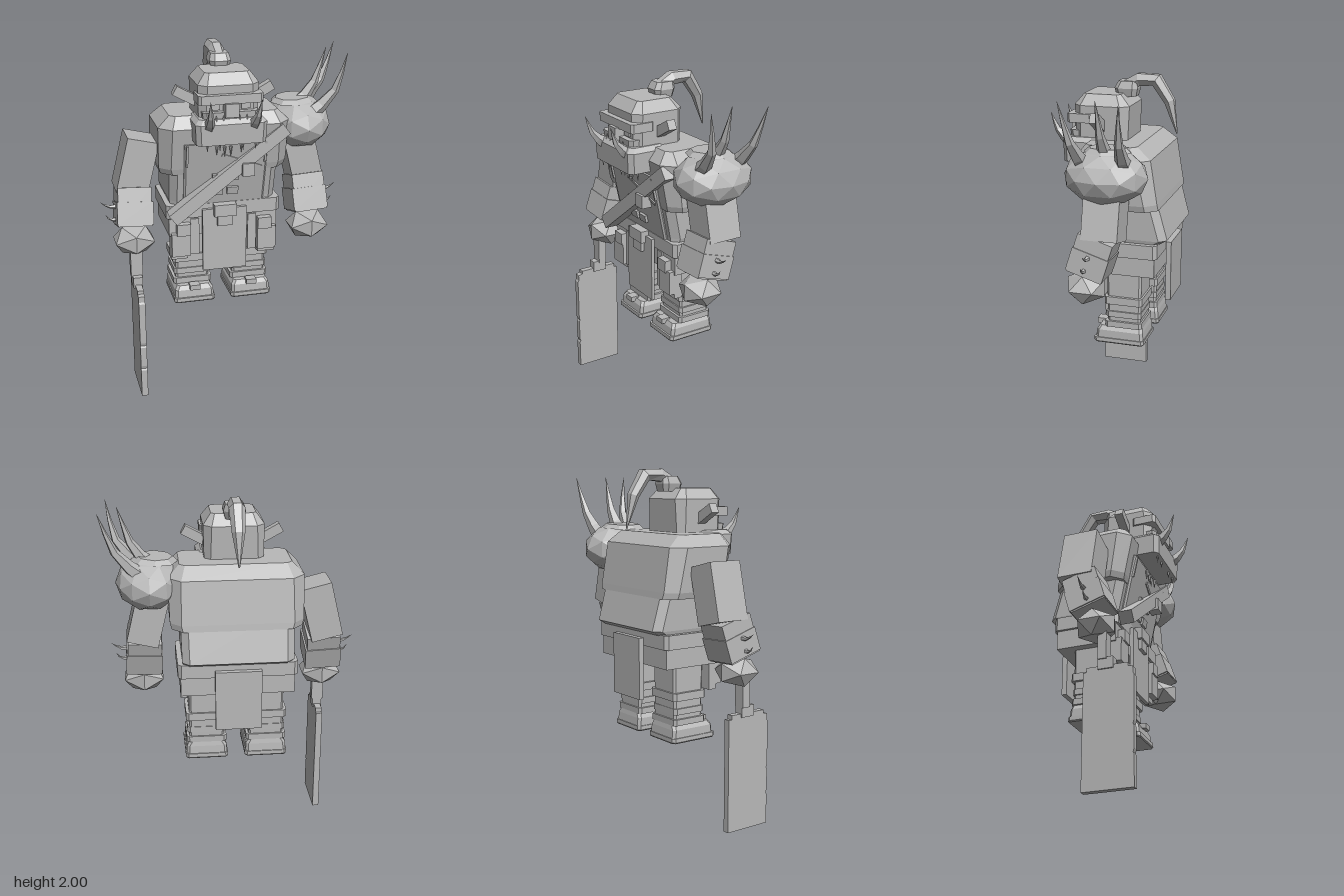
import * as THREE from 'three';

const stone = new THREE.MeshStandardMaterial({ color: 0xb8b8b8, flatShading: true, side: THREE.DoubleSide });
stone.name = 'plain grey';

const V = (p) => new THREE.Vector3(...p);

export function createModel() {
  const root = new THREE.Group();
  root.name = 'warrior';
  const body = new THREE.Group();
  body.name = 'body';
  body.position.x = -0.02;
  root.add(body);

  const add = (name, geo, pos = [0, 0, 0], rot = [0, 0, 0]) => {
    const m = new THREE.Mesh(geo, stone);
    m.name = name;
    m.position.set(...pos);
    m.rotation.set(...rot);
    body.add(m);
    return m;
  };
  // box given by its limits
  const box = (name, x0, x1, y0, y1, z0, z1) =>
    add(name, new THREE.BoxGeometry(x1 - x0, y1 - y0, z1 - z0), [(x0 + x1) / 2, (y0 + y1) / 2, (z0 + z1) / 2]);

  // stack of corner-cut rectangles: [y, half width, back z, front z, corner cut]
  const loft = (name, rings, x = 0) => {
    const pos = [], idx = [], n = 8;
    for (const [y, w, b, f, c] of rings) {
      for (const [px, pz] of [[c - w, f], [w - c, f], [w, f - c], [w, b + c], [w - c, b], [c - w, b], [-w, b + c], [-w, f - c]])
        pos.push(px, y, pz);
    }
    for (let i = 0; i < rings.length - 1; i++) for (let j = 0; j < n; j++) {
      const a = i * n + j, b = i * n + (j + 1) % n;
      idx.push(a, b, b + n, a, b + n, a + n);
    }
    const t = (rings.length - 1) * n;
    for (let j = 1; j < n - 1; j++) idx.push(0, j + 1, j, t, t + j, t + j + 1);
    const g = new THREE.BufferGeometry();
    g.setAttribute('position', new THREE.Float32BufferAttribute(pos, 3));
    g.setIndex(idx);
    g.computeVertexNormals();
    return add(name, g, [x, 0, 0]);
  };

  // curved spike tapering to a point
  const horn = (name, pts, r, seg = 4, sides = 5) => {
    const curve = new THREE.CatmullRomCurve3(pts.map(V));
    const g = new THREE.TubeGeometry(curve, seg, r, sides);
    const p = g.attributes.position, v = new THREE.Vector3();
    for (let i = 0; i < p.count; i++) {
      const t = Math.floor(i / (sides + 1)) / seg, c = curve.getPointAt(t);
      v.fromBufferAttribute(p, i).sub(c).multiplyScalar(Math.max(0.02, 1 - t)).add(c);
      p.setXYZ(i, v.x, v.y, v.z);
    }
    g.computeVertexNormals();
    return add(name, g);
  };

  // torso: lower body sloping back towards the hips, with a broad hunched upper slab
  loft('lowerTorso', [
    [1.09, 0.30, -0.29, 0.05, 0.03], [1.13, 0.31, -0.36, 0.055, 0.04], [1.42, 0.315, -0.28, 0.115, 0.04]]);
  loft('upperTorso', [
    [1.305, 0.36, -0.315, 0.095, 0.06], [1.34, 0.37, -0.31, 0.105, 0.06],
    [1.58, 0.375, -0.27, 0.15, 0.07], [1.645, 0.31, -0.19, 0.1, 0.03]]);
  loft('chestPlate', [[1.1, 0.235, 0, 0.065, 0.01], [1.49, 0.24, 0, 0.148, 0.01]]);
  // slope of the chest front
  const chestZ = (y) => 0.065 + (y - 1.1) * 0.213;
  for (const s of [-1, 1]) {
    for (const y of [1.19, 1.28])
      add('bellyMuscle', new THREE.BoxGeometry(0.065, 0.045, 0.03), [s * 0.045, y, chestZ(y)], [0.21, 0, 0]);
    add('chestSeam', new THREE.BoxGeometry(0.012, 0.13, 0.02), [s * 0.225, 1.42, chestZ(1.42)], [0.21, 0, 0]);
  }
  // strap across the chest
  add('chestStrap', new THREE.BoxGeometry(0.82, 0.075, 0.08), [0.015, 1.3, 0.114], [0, 0, 0.645]);
  box('strapBuckle', 0.085, 0.155, 1.29, 1.365, 0.1, 0.17);
  add('chestScar', new THREE.BoxGeometry(0.25, 0.018, 0.012), [0.09, 1.37, chestZ(1.37)], [0.21, 0, -0.38]);
  for (const [x, y] of [[-0.06, 1.45], [-0.015, 1.44], [0.02, 1.44], [0.08, 1.46]])
    add('pendantTooth', new THREE.ConeGeometry(0.01, 0.06, 4), [x, y, 0.15], [Math.PI, 0, 0]);

  // belt, skirt and hanging cloth
  box('hips', -0.3, 0.3, 0.92, 1.1, -0.29, 0.05);
  box('skirt', -0.32, 0.32, 0.92, 1.04, -0.3, 0.055);
  loft('belt', [[1.03, 0.335, -0.315, 0.07, 0.02], [1.11, 0.335, -0.315, 0.07, 0.02]]);
  box('frontCloth', -0.13, 0.13, 0.70, 1.08, 0.07, 0.09);
  box('backCloth', -0.13, 0.13, 0.725, 1.075, -0.35, -0.32);
  box('beltBuckle', -0.065, 0.065, 1.04, 1.11, 0.06, 0.12);
  box('buckleTip', -0.045, 0.045, 0.98, 1.04, 0.06, 0.11);
  for (const s of [-1, 1]) {
    const side = (name, a, b, ...r) => box(name, Math.min(s * a, s * b), Math.max(s * a, s * b), ...r);
    side('hangingStrip', 0.145, 0.195, 0.8, 1.02, 0.03, 0.065);
    side('sidePanel', 0.21, 0.31, 0.77, 0.95, 0.0, 0.05);
    side('pouch', 0.2, 0.31, 0.8, 0.94, 0.03, 0.085);
    side('pouchFlap', 0.2, 0.28, 0.93, 1.0, 0.04, 0.095);
  }

  // legs and boots
  for (const s of [-1, 1]) {
    const x = s * 0.172;
    loft('leg', [[0.58, 0.1, -0.21, -0.02, 0.012], [0.95, 0.1, -0.215, -0.01, 0.012]], x);
    for (const [y, h, w] of [[0.725, 0.045, 0.118], [0.645, 0.035, 0.11], [0.585, 0.035, 0.115]])
      loft('legWrap', [[y, w, -0.105 - w, -0.12 + w, 0.015], [y + h, w, -0.105 - w, -0.12 + w, 0.015]], x);
    loft('boot', [[0.51, 0.117, -0.23, 0.05, 0.015], [0.56, 0.115, -0.225, 0.045, 0.015], [0.585, 0.1, -0.22, 0.03, 0.015]], x);
    loft('sole', [[0.485, 0.118, -0.23, 0.055, 0.012], [0.492, 0.123, -0.235, 0.06, 0.015], [0.515, 0.123, -0.235, 0.06, 0.015]], x);
    box('bootClasp', x - 0.03, x + 0.03, 0.565, 0.595, 0.01, 0.065);
  }

  // arms, bracers and fists
  for (const s of [-1, 1]) {
    add('upperArm', new THREE.BoxGeometry(0.18, 0.32, 0.2), [s * 0.485, 1.34, -0.075], [0, 0, s * 0.24]);
    add('forearm', new THREE.BoxGeometry(0.19, 0.22, 0.2), [s * 0.515, 1.1, -0.02], [-0.3, 0, s * 0.05]);
    add('bracer', new THREE.BoxGeometry(0.205, 0.13, 0.21), [s * 0.515, 1.065, -0.01], [-0.3, 0, s * 0.05]);
    for (const [y, z, tip] of [[1.11, -0.015, 0.7], [1.04, 0.005, 0.675]])
      horn('bracerSpike', [[s * 0.58, y, z], [s * 0.65, y, z], [s * tip, y + 0.03, z]], 0.02);
    const fist = add('fist', new THREE.IcosahedronGeometry(1, 0), [s * 0.52, 0.913, 0.024]);
    fist.scale.set(0.131, 0.092, 0.122);
  }

  // spiked shoulder guard on the left
  const guard = add('shoulderGuard', new THREE.IcosahedronGeometry(1, 1), [0.475, 1.525, -0.075]);
  guard.scale.set(0.185, 0.15, 0.23);
  add('guardCap', new THREE.CylinderGeometry(0.1, 0.13, 0.025, 8), [0.44, 1.66, -0.075], [0, 0, 0.05]);
  horn('shoulderSpike', [[0.44, 1.6, -0.075], [0.55, 1.71, -0.075], [0.635, 1.945, -0.07]], 0.05);
  for (const [z0, z1, x] of [[0.035, 0.106, 0.7], [-0.185, -0.22, 0.735]])
    horn('shoulderSpike', [[0.49, 1.57, z0], [0.64, 1.71, (z0 * 2 + z1) / 3], [x, 1.945, z1]], 0.05);

  // head
  loft('head', [
    [1.56, 0.165, -0.09, 0.2, 0.03], [1.83, 0.17, -0.1, 0.215, 0.045], [1.89, 0.125, -0.045, 0.165, 0.02]]);
  loft('jaw', [
    [1.515, 0.195, 0.03, 0.265, 0.025], [1.63, 0.2, 0.03, 0.27, 0.025], [1.655, 0.175, 0.05, 0.245, 0.02]]);
  loft('brow', [[1.735, 0.18, 0.1, 0.245, 0.015], [1.785, 0.18, 0.1, 0.245, 0.015]]);
  loft('upperLip', [[1.64, 0.15, 0.1, 0.235, 0.02], [1.69, 0.155, 0.1, 0.24, 0.02]]);
  box('nose', -0.038, 0.038, 1.665, 1.74, 0.2, 0.265);
  for (const s of [-1, 1]) {
    box('eye', s * 0.085 - 0.025, s * 0.085 + 0.025, 1.7, 1.735, 0.21, 0.222);
    add('ear', new THREE.BoxGeometry(0.14, 0.055, 0.05), [s * 0.215, 1.75, 0.055], [0, 0, s * 0.5]);
    horn('tusk', [[s * 0.125, 1.615, 0.24], [s * 0.13, 1.67, 0.305], [s * 0.14, 1.78, 0.352]], 0.036);
    for (const x of [0.065, 0.135])
      add('jawTooth', new THREE.ConeGeometry(0.008, 0.05, 4), [s * x, 1.495, 0.245], [Math.PI, 0, 0]);
    for (const x of [0.045, 0.085])
      add('tooth', new THREE.ConeGeometry(0.01, 0.035, 4), [s * x, 1.66, 0.245]);
  }

  // topknot and its drooping tail
  loft('topknot', [[1.87, 0.05, -0.11, 0.0, 0.02], [1.915, 0.062, -0.12, 0.012, 0.025], [1.955, 0.05, -0.115, -0.01, 0.02]]);
  const tail = [[1.925, -0.05, 0.04], [1.962, -0.12, 0.045], [1.963, -0.22, 0.045], [1.85, -0.295, 0.036], [1.67, -0.34, 0.004]];
  const spine = tail.map(([y, z]) => new THREE.Vector3(0, y, z));
  const tailGeo = new THREE.TubeGeometry(new THREE.CatmullRomCurve3(spine), 4, 1, 6);
  const tp = tailGeo.attributes.position;
  tail.forEach(([y, z, w], i) => {
    const a = tail[Math.max(0, i - 1)], b = tail[Math.min(4, i + 1)];
    const dir = new THREE.Vector2(b[1] - a[1], b[0] - a[0]).normalize();
    for (let j = 0; j <= 6; j++) {
      const t = j * Math.PI / 3, u = Math.sin(t) * w * 0.9;
      tp.setXYZ(i * 7 + j, Math.cos(t) * w, y + u * dir.x, z - u * dir.y);
    }
  });
  tailGeo.computeVertexNormals();
  add('hairTail', tailGeo);

  // broad cleaver in the right fist
  const cx = -0.52;
  box('cleaverHandle', cx - 0.034, cx + 0.034, 0.705, 0.9, 0.045, 0.095);
  box('cleaverCollar', cx - 0.027, cx + 0.027, 0.65, 0.715, 0.045, 0.13);
  const blade = new THREE.Shape();
  [[-0.04, 0], [0.243, 0], [0.243, 0.17], [0.237, 0.18], [0.243, 0.2], [0.243, 0.32], [0.237, 0.33], [0.243, 0.35],
    [0.243, 0.6], [0.237, 0.61], [0.237, 0.645], [0.21, 0.65], [0.21, 0.67], [-0.02, 0.67], [-0.02, 0.645], [-0.04, 0.645]]
    .forEach(([z, y], i) => (i ? blade.lineTo(-z, y) : blade.moveTo(-z, y)));
  add('cleaverBlade', new THREE.ExtrudeGeometry(blade, { depth: 0.037, bevelEnabled: false }),
    [cx - 0.0185, 0, 0], [0, Math.PI / 2, 0]);

  return root;
}
